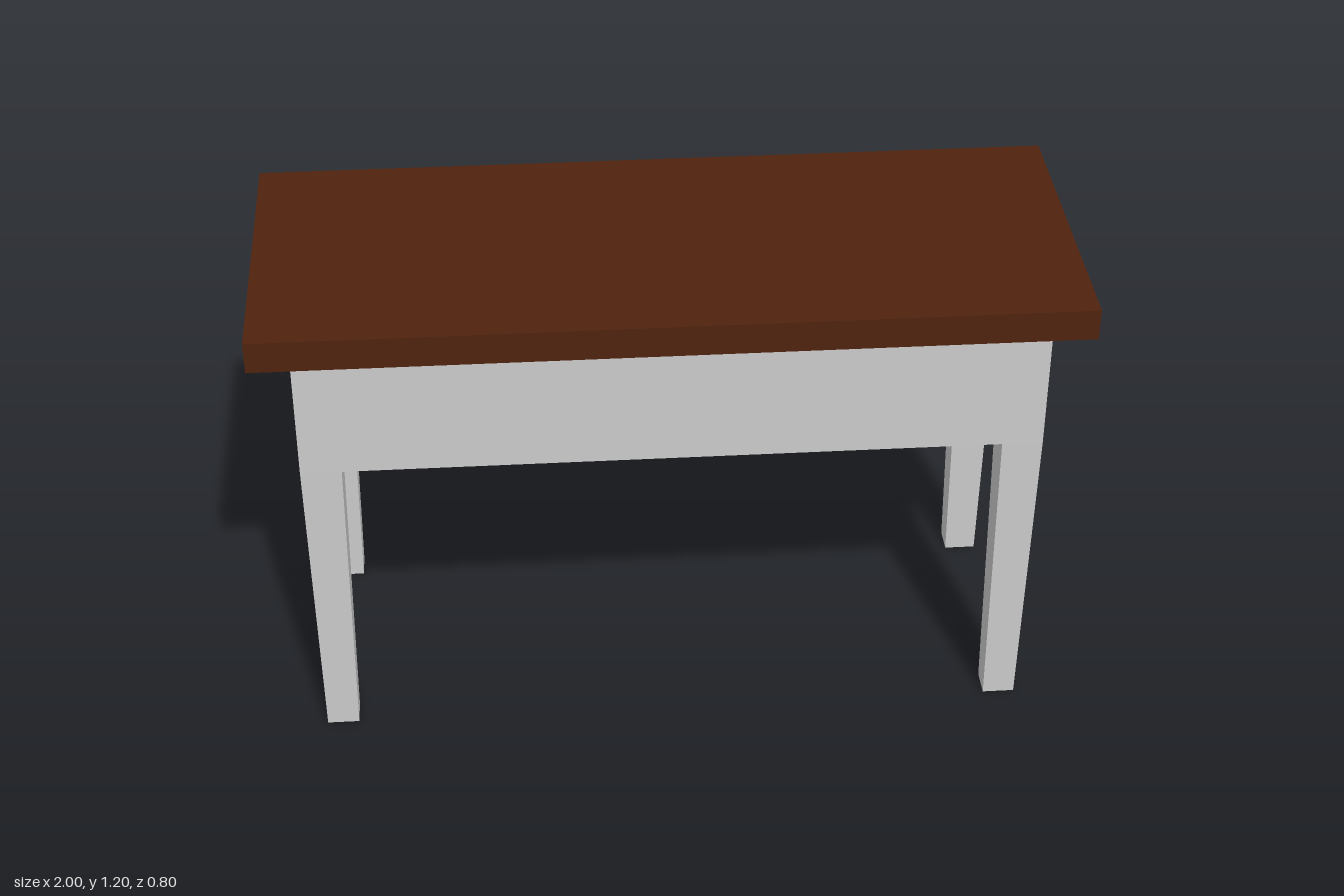
import * as THREE from 'three';

const grey = new THREE.MeshStandardMaterial({ color: 0xcccccc, flatShading: true });
const wood = new THREE.MeshStandardMaterial({ color: 0x50230f, flatShading: true });
const brass = new THREE.MeshStandardMaterial({ color: 0x574a10, flatShading: true });

// Box spanning y0..y1, centred on x and z
function box(name, material, width, y0, y1, depth, z = 0) {
  const mesh = new THREE.Mesh(new THREE.BoxGeometry(width, y1 - y0, depth), material);
  mesh.name = name;
  mesh.position.set(0, (y0 + y1) / 2, z);
  return mesh;
}

// Square leg narrowing towards the floor
function taperedLeg(height, top, footX, footZ) {
  const geometry = new THREE.BoxGeometry(top, height, top);
  const p = geometry.attributes.position;
  for (let i = 0; i < p.count; i++) {
    if (p.getY(i) < 0) {
      p.setX(i, Math.sign(p.getX(i)) * footX / 2);
      p.setZ(i, Math.sign(p.getZ(i)) * footZ / 2);
    }
  }
  geometry.translate(0, height / 2, 0);
  geometry.computeVertexNormals();
  return geometry;
}

export function createModel() {
  const table = new THREE.Group();
  table.name = 'table';

  // Top and the box below it
  table.add(box('tabletop', wood, 2, 1.12, 1.2, 0.8));
  table.add(box('apron', grey, 1.8, 0.8, 1.12, 0.72));

  // Drawer on the -z side
  table.add(box('drawerFront', grey, 1.08, 0.877, 1.077, 0.02, -0.37));
  table.add(box('drawerHandle', brass, 0.12, 0.96, 1.0, 0.01, -0.385));

  // Four legs flush with the apron corners
  const legGeometry = taperedLeg(0.8, 0.1, 0.08, 0.07);
  for (const [end, z] of [['front', 0.31], ['back', -0.31]]) {
    for (const [side, x] of [['Left', 0.85], ['Right', -0.85]]) {
      const leg = new THREE.Mesh(legGeometry, grey);
      leg.name = `${end}${side}Leg`;
      leg.position.set(x, 0, z);
      table.add(leg);
    }
  }
  return table;
}
